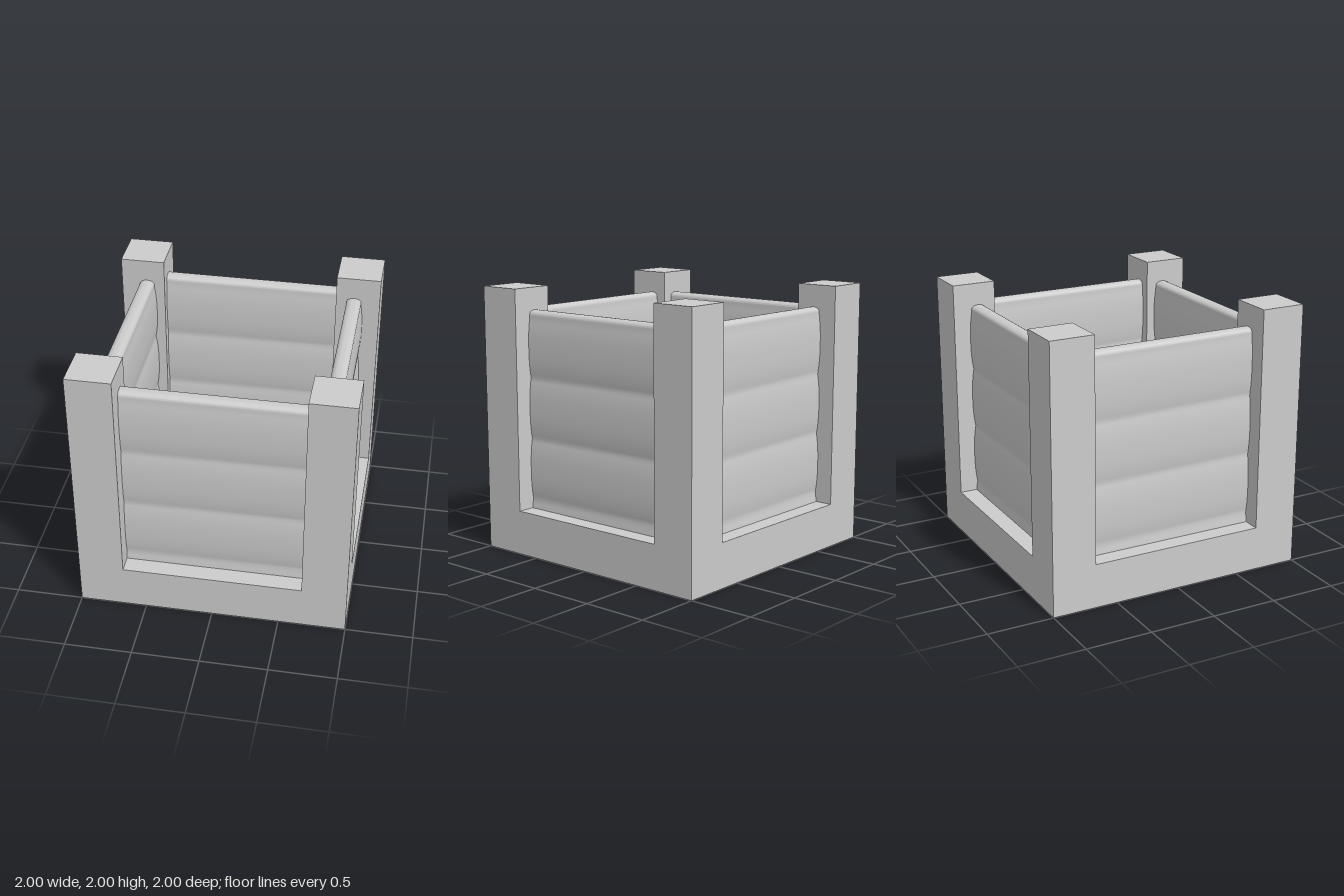
import * as THREE from 'three';
import { toCreasedNormals } from 'three/addons/utils/BufferGeometryUtils.js';

const BAR = 1 / 3;            // thickness of posts and base bars
const INNER = 1 - BAR;        // half width of the opening
const HEIGHT = 1.5;           // panel height
const PITCH = 0.46;           // height of one plank
const CROWN = 1.455;          // groove under the rounded top bead
const CENTRE = 0.803;         // distance of the panels from the middle

// Half thickness of the planked panel at height y
function halfWidth(y) {
  if (y >= CROWN) {
    const t = (y - CROWN) / (HEIGHT - CROWN);
    return 0.056 * Math.sqrt(Math.max(0, 1 - t ** 3));
  }
  const phase = ((CROWN - y) / PITCH) % 1;
  const u = Math.abs(2 * phase - 1);
  return 0.053 + 0.018 * (1 - u ** 2.5);
}

// Planked panel: bulging profile swept along its length
function panelGeometry() {
  const ys = [];
  const floorStart = CROWN - 3 * PITCH;
  ys.push(0, floorStart / 2);
  for (let i = 0; i < 48; i++) ys.push(floorStart + (i / 48) * 3 * PITCH);
  for (let i = 0; i <= 12; i++) {
    ys.push(CROWN + (HEIGHT - CROWN) * Math.sin((i / 12) * Math.PI / 2));
  }
  const right = ys.map((y) => new THREE.Vector2(halfWidth(y), y));
  const left = right.slice(0, -1).reverse().map((p) => new THREE.Vector2(-p.x, p.y));
  const geo = new THREE.ExtrudeGeometry(new THREE.Shape([...right, ...left]), {
    depth: 2 * INNER, bevelEnabled: false,
  });
  geo.translate(0, 0, -INNER);
  return toCreasedNormals(geo, 0.6);
}

function square(PathType, r) {
  const path = new PathType();
  path.moveTo(-r, -r).lineTo(r, -r).lineTo(r, r).lineTo(-r, r).closePath();
  return path;
}

export function createModel() {
  const group = new THREE.Group();
  const material = new THREE.MeshStandardMaterial({ color: 0xcccccc });
  const add = (name, geometry) => {
    const mesh = new THREE.Mesh(geometry, material);
    mesh.name = name;
    group.add(mesh);
    return mesh;
  };

  // Square base ring, open in the middle
  const ring = square(THREE.Shape, 1);
  ring.holes.push(square(THREE.Path, INNER));
  const base = new THREE.ExtrudeGeometry(ring, { depth: BAR, bevelEnabled: false });
  base.rotateX(-Math.PI / 2);
  add('baseFrame', base);

  // Four corner posts
  const post = new THREE.BoxGeometry(BAR, 2 - BAR, BAR);
  for (const x of [-1, 1]) {
    for (const z of [-1, 1]) {
      add(`${z > 0 ? 'front' : 'back'}${x > 0 ? 'Left' : 'Right'}Post`, post)
        .position.set(x * (1 - BAR / 2), 1 + BAR / 2, z * (1 - BAR / 2));
    }
  }

  // Four side panels between the posts
  const panel = panelGeometry();
  for (const s of [-1, 1]) {
    add(s > 0 ? 'leftPanel' : 'rightPanel', panel).position.set(s * CENTRE, BAR, 0);
    const mesh = add(s > 0 ? 'frontPanel' : 'backPanel', panel);
    mesh.position.set(0, BAR, s * CENTRE);
    mesh.rotation.y = Math.PI / 2;
  }

  // Planked floor inside the base ring
  const floor = add('floorPanel', panel);
  floor.scale.y = (2 * INNER) / HEIGHT;
  floor.rotation.z = -Math.PI / 2;
  floor.position.set(-INNER, 0.2, 0);

  return group;
}
